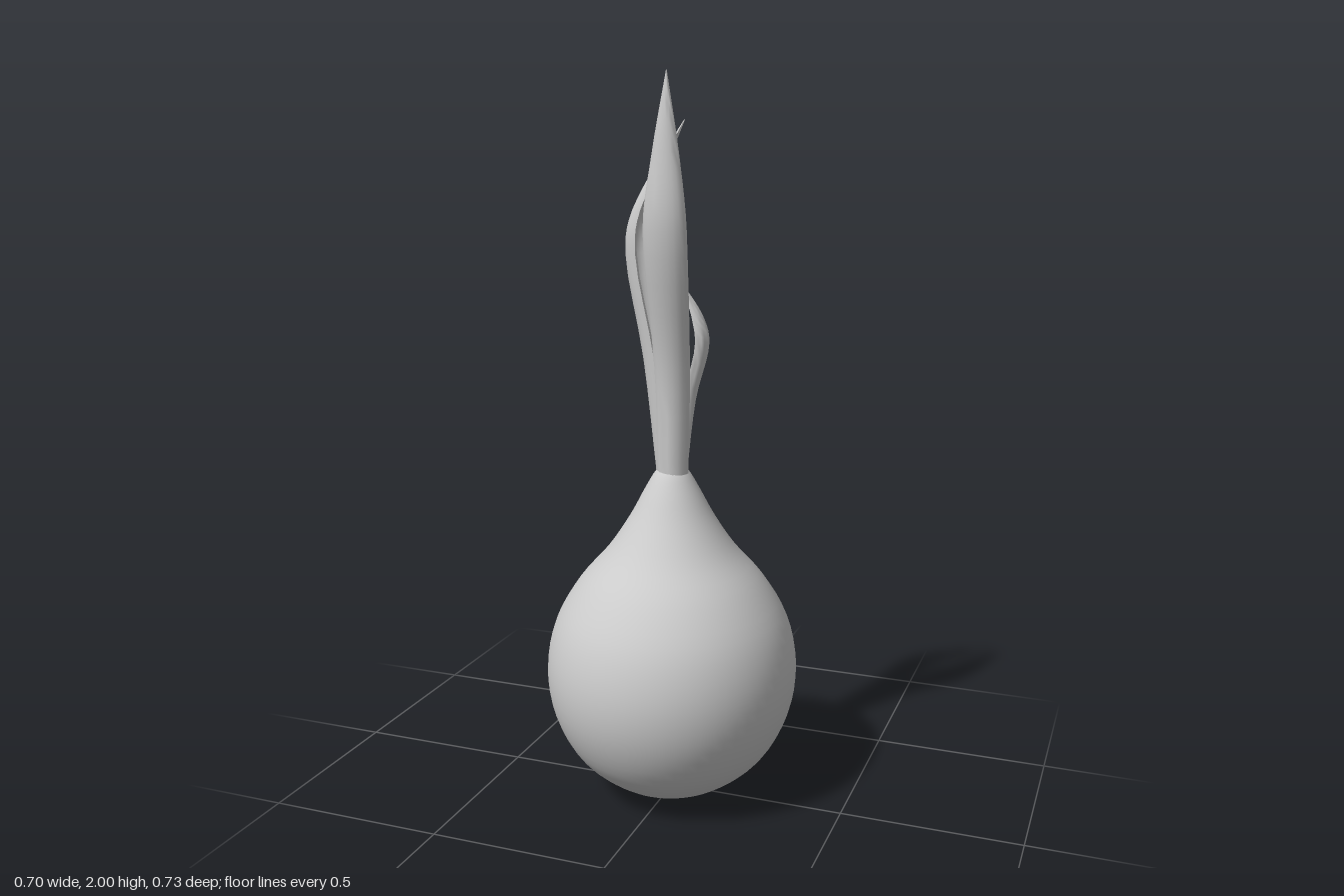
import * as THREE from 'three';
import { toCreasedNormals } from 'three/addons/utils/BufferGeometryUtils.js';

const material = new THREE.MeshStandardMaterial({ color: 0xcccccc, side: THREE.DoubleSide });

// Each station is [height, outward reach of the spine, sideways lean, half width, curl depth].
const LEAVES = [
  { name: 'frontLeaf', out: [0, 1], stations: [
    [0.91, 0.045, 0.003, 0.044, 0.045], [1.23, 0.07, 0.01, 0.05, 0.045], [1.6, 0.147, 0.02, 0.06, 0.04],
    [1.8, 0.14, 0.025, 0.036, 0.025], [2, 0.118, 0.028, 0.001, 0.002]] },
  { name: 'rightLeaf', out: [-1, 0], stations: [
    [0.91, 0.042, 0, 0.03, 0.04], [1.25, 0.08, 0.003, 0.042, 0.045], [1.53, 0.128, 0.005, 0.052, 0.045],
    [1.62, 0.118, 0.005, 0.05, 0.04], [1.74, 0.058, 0.005, 0.032, 0.025], [1.88, -0.035, 0.005, 0.001, 0.002]] },
  { name: 'backLeaf', out: [0, -1], stations: [
    [0.9, 0.03, 0.005, 0.022, 0.025], [1.2, 0.046, 0.012, 0.028, 0.028], [1.36, 0.083, 0.02, 0.034, 0.028],
    [1.44, 0.066, 0.01, 0.026, 0.022], [1.56, 0.003, -0.02, 0.001, 0.002]] },
  { name: 'leftLeaf', out: [1, 0], stations: [
    [0.88, 0.038, -0.003, 0.018, 0.025], [1.14, 0.065, 0.005, 0.025, 0.028], [1.3, 0.1, 0.012, 0.032, 0.028],
    [1.37, 0.082, 0.01, 0.025, 0.022], [1.47, 0.018, 0, 0.001, 0.002]] },
];

// Lofts crescent cross-sections along the stations.
function leafGeometry({ out: [ox, oz], stations }) {
  const ROWS = 20, ARC = 10, THICK = 0.012;
  const spine = new THREE.CatmullRomCurve3(stations.map(([y, o, l]) => new THREE.Vector3(l, y, o)));
  const size = new THREE.CatmullRomCurve3(stations.map(([, , , w, d], i) => new THREE.Vector3(w, d, i * 0.1)));
  const loop = 2 * (ARC + 1);
  const positions = [], index = [];
  for (let j = 0; j <= ROWS; j++) {
    const p = spine.getPoint(j / ROWS), s = size.getPoint(j / ROWS);
    const t = Math.min(THICK, s.x * 0.4, s.y * 0.4);
    for (let i = 0; i < loop; i++) {
      const inner = i > ARC;
      const a = ((inner ? loop - 1 - i : i) / ARC - 0.5) * Math.PI;
      const inset = inner ? t : 0;
      const side = p.x + (s.x - inset) * Math.sin(a);
      const reach = p.z - s.y + (s.y - inset) * Math.cos(a);
      positions.push(ox * reach + oz * side, p.y, oz * reach - ox * side);
    }
  }
  for (let j = 0; j < ROWS; j++) {
    for (let i = 0; i < loop; i++) {
      const a = j * loop + i, b = j * loop + (i + 1) % loop;
      index.push(a, b, a + loop, b, b + loop, a + loop);
    }
  }
  const geometry = new THREE.BufferGeometry();
  geometry.setAttribute('position', new THREE.Float32BufferAttribute(positions, 3));
  geometry.setIndex(index);
  return toCreasedNormals(geometry, 0.8);
}

export function createModel() {
  const group = new THREE.Group();

  // Bulb: smooth turned body, slightly deeper than wide
  const profile = new THREE.SplineCurve([
    [0, 0], [0.07, 0.005], [0.17, 0.045], [0.27, 0.13], [0.332, 0.25], [0.35, 0.38], [0.325, 0.51],
    [0.26, 0.625], [0.178, 0.72], [0.118, 0.81], [0.075, 0.89], [0.045, 0.94], [0.02, 0.956], [0, 0.958],
  ].map(([x, y]) => new THREE.Vector2(x, y)));
  const points = profile.getPoints(52).map((p) => new THREE.Vector2(Math.max(0, p.x), Math.max(0, p.y)));
  const bulb = new THREE.Mesh(new THREE.LatheGeometry(points, 64), material);
  bulb.name = 'bulb';
  bulb.scale.z = 1.04;
  group.add(bulb);

  // Four curled shoots rising from the neck
  for (const leaf of LEAVES) {
    const mesh = new THREE.Mesh(leafGeometry(leaf), material);
    mesh.name = leaf.name;
    group.add(mesh);
  }
  return group;
}
